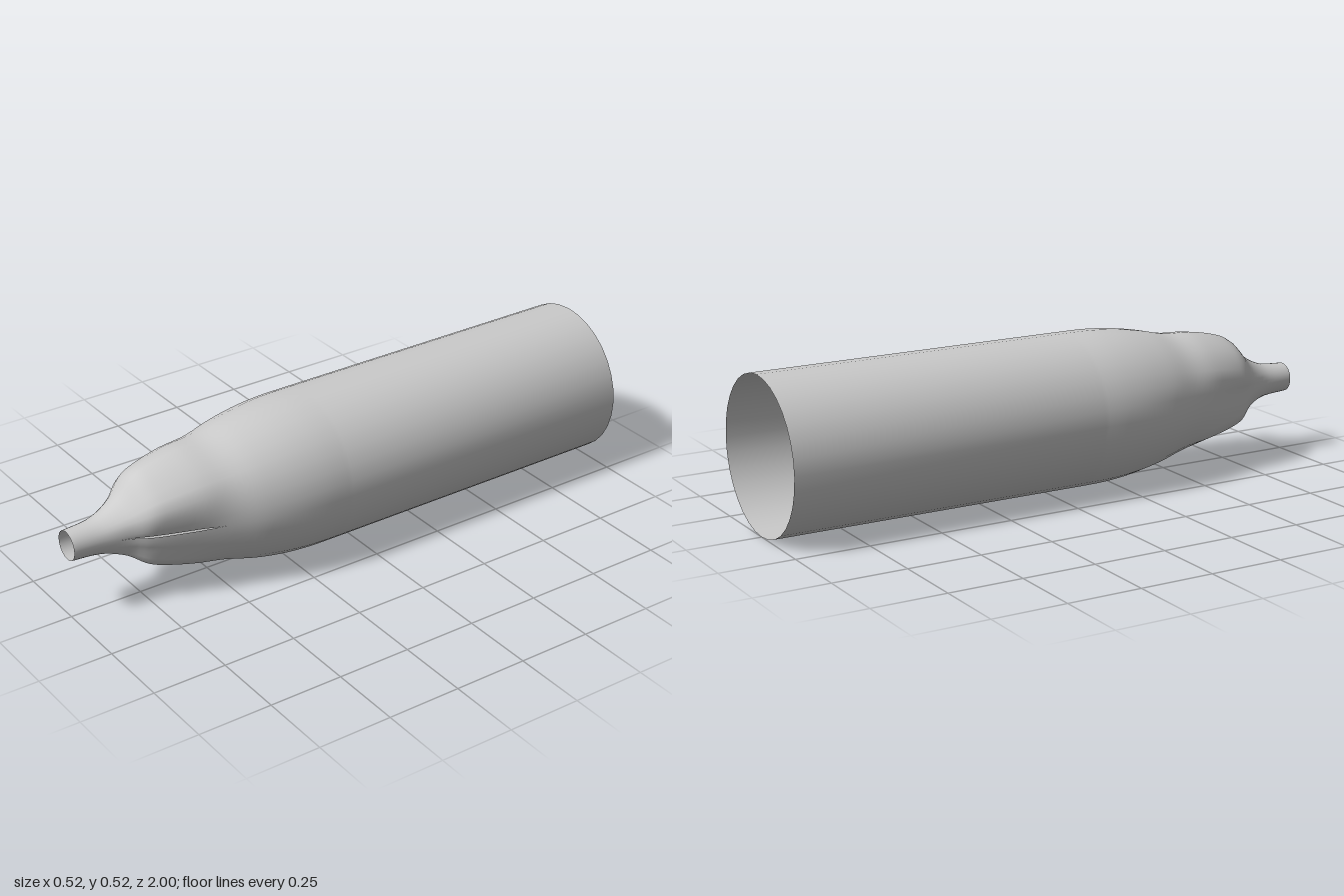
import * as THREE from 'three';
import { mergeVertices } from 'three/addons/utils/BufferGeometryUtils.js';

const AXIS_Y = 0.262, SIDES = 32, ROWS = 44;

// Lengthwise profiles [z, radius in the folds, radius on the ridges]
const PROFILE = [
  [0.1, 0.26, 0.26], [0.2, 0.258, 0.259], [0.3, 0.248, 0.251], [0.4, 0.227, 0.235],
  [0.5, 0.192, 0.213], [0.6, 0.152, 0.208], [0.7, 0.116, 0.188], [0.76, 0.094, 0.162],
  [0.82, 0.073, 0.1], [0.9, 0.057, 0.06], [1, 0.049, 0.05],
];

// Ridge height around the tube [degrees, 0 = fold, 1 = ridge]
const RIDGES = [
  [0, 0.2], [15, 0.45], [34, 0.85], [60, 0.85], [90, 1], [120, 0.85], [150, 0.7],
  [180, 0.3], [203, 0.4], [228, 0.7], [250, 0.15], [275, 0.1], [303, 0.6], [330, 0.2], [360, 0.2],
];

function ridge(deg) {
  const k = Math.max(1, RIDGES.findIndex(([a]) => a >= deg));
  const [a0, f0] = RIDGES[k - 1], [a1, f1] = RIDGES[k];
  return THREE.MathUtils.lerp(f0, f1, THREE.MathUtils.smoothstep(deg, a0, a1));
}

// Open tube whose front end is gathered into a narrow neck
function wrapperGeometry() {
  const fold = new THREE.SplineCurve(PROFILE.map(([z, r]) => new THREE.Vector2(z, r)));
  const crest = new THREE.SplineCurve(PROFILE.map(([z, , r]) => new THREE.Vector2(z, r)));
  const rows = [[-1, 0.26, 0.26]];
  for (let i = 0; i <= ROWS; i++) {
    const p = fold.getPoint(i / ROWS), q = crest.getPoint(i / ROWS);
    rows.push([p.x, p.y, q.y]);
  }

  const positions = [], index = [];
  rows.forEach(([z, low, high], i) => {
    // The two edges part slightly to leave a slit along the +x side
    const gap = 0.003 * THREE.MathUtils.smoothstep(z, 0.54, 0.62) * (1 - THREE.MathUtils.smoothstep(z, 0.74, 0.84));
    for (let j = 0; j <= SIDES; j++) {
      const a = j / SIDES * Math.PI * 2;
      const r = THREE.MathUtils.lerp(low, high, ridge(j / SIDES * 360));
      const slit = j === 0 ? gap : j === SIDES ? -gap : 0;
      positions.push(r * Math.cos(a), AXIS_Y + r * Math.sin(a) + slit, z);
      if (i < rows.length - 1 && j < SIDES) {
        const p = i * (SIDES + 1) + j, q = p + SIDES + 1;
        index.push(p, p + 1, q, p + 1, q + 1, q);
      }
    }
  });

  let geometry = new THREE.BufferGeometry();
  geometry.setAttribute('position', new THREE.Float32BufferAttribute(positions, 3));
  geometry.setIndex(index);
  geometry = mergeVertices(geometry, 1e-5); // closes the seam outside the slit
  geometry.computeVertexNormals();
  return geometry;
}

export function createModel() {
  const group = new THREE.Group();
  group.name = 'twistedTube';
  const material = new THREE.MeshStandardMaterial({ color: 0xcccccc, side: THREE.DoubleSide });
  const wrapper = new THREE.Mesh(wrapperGeometry(), material);
  wrapper.name = 'wrapper';
  group.add(wrapper);
  return group;
}
